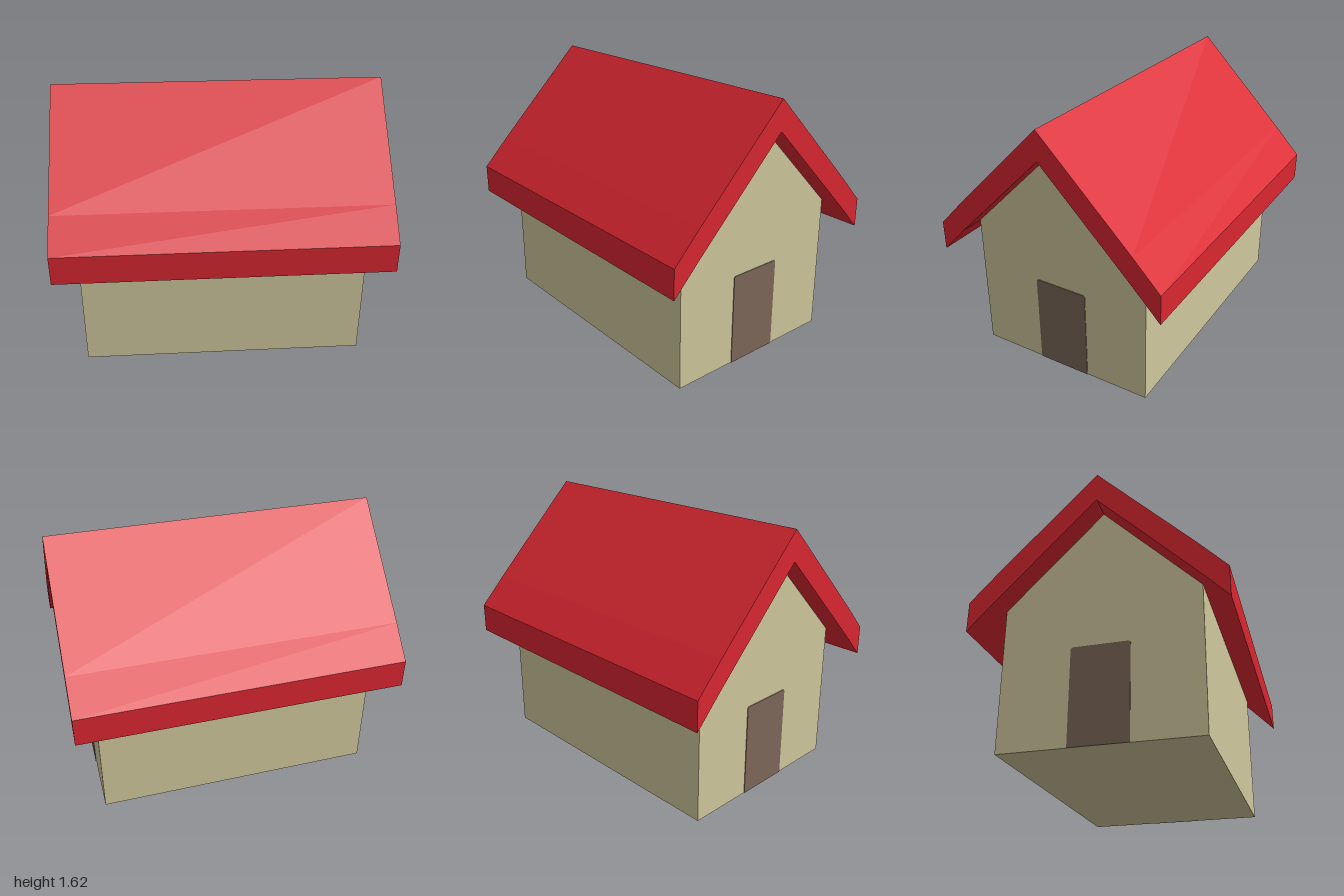
import * as THREE from 'three';

const WALL_X = 0.86, WALL_Z = 0.573, EAVE_Y = 0.86, RIDGE_Y = 1.435, ROOF_T = 0.18;

// Extrude a gable outline, given as [z, y] points, along x and centre it
function extrudeAlongX(points, length, material, name) {
  const shape = new THREE.Shape(points.map(([z, y]) => new THREE.Vector2(-z, y)));
  const geometry = new THREE.ExtrudeGeometry(shape, { depth: length, bevelEnabled: false });
  geometry.translate(0, 0, -length / 2);
  geometry.rotateY(Math.PI / 2);
  const mesh = new THREE.Mesh(geometry, material);
  mesh.name = name;
  return mesh;
}

export function createModel() {
  const mat = (name, color) => new THREE.MeshStandardMaterial({ name, color });
  const tan = mat('tan wall', 0xd0c89d);
  const red = mat('red roof', 0xdb2731);
  const brown = mat('brown door', 0x7c6858);

  const house = new THREE.Group();
  house.name = 'house';

  // Walls with a gable at each end
  house.add(extrudeAlongX([
    [-WALL_Z, 0], [-WALL_Z, EAVE_Y], [0, RIDGE_Y], [WALL_Z, EAVE_Y], [WALL_Z, 0],
  ], WALL_X * 2, tan, 'walls'));

  // Roof slab, slightly steeper beyond the walls
  const under = [[-0.74, 0.685], [-WALL_Z, EAVE_Y], [0, RIDGE_Y], [WALL_Z, EAVE_Y], [0.74, 0.685]];
  const over = under.map(([z, y]) => [z, y + ROOF_T]).reverse();
  house.add(extrudeAlongX([...under, ...over], 2, red, 'roof'));

  // A thin door with clipped top corners on each gable end
  for (const side of [1, -1]) {
    const door = extrudeAlongX([
      [-0.17, 0], [-0.17, 0.567], [-0.162, 0.575], [0.162, 0.575], [0.17, 0.567], [0.17, 0],
    ], 0.008, brown, side > 0 ? 'leftDoor' : 'rightDoor');
    door.position.x = side * WALL_X;
    house.add(door);
  }
  return house;
}
